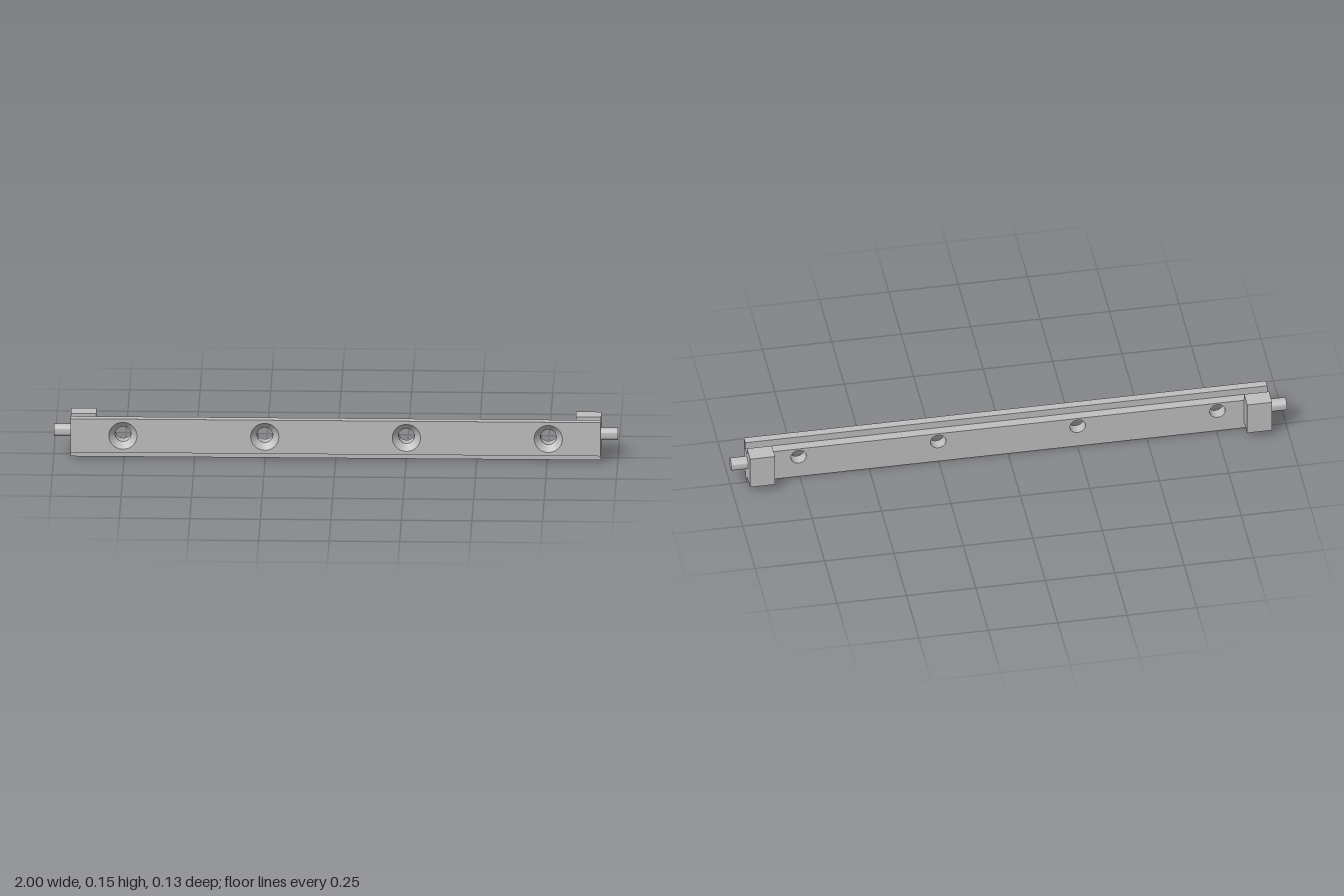
import * as THREE from 'three';
import { toCreasedNormals } from 'three/addons/utils/BufferGeometryUtils.js';

const HALF = 0.94;                 // half length of the bar
const HOLE_Y = 0.088;
const HOLE_XS = [-0.754, -0.251, 0.251, 0.754];
const R_IN = 0.028, R_OUT = 0.05;  // bore and countersink radii
const Z_FRONT = 0.0635, Z_GROOVE = 0.034, Z_CONE = Z_FRONT - (R_OUT - R_IN);

// Drilled slab of the bar between two z depths
function slab(y0, y1, z0, z1, radius) {
  const s = new THREE.Shape();
  s.moveTo(-HALF, y0).lineTo(HALF, y0).lineTo(HALF, y1).lineTo(-HALF, y1).closePath();
  for (const x of HOLE_XS) {
    s.holes.push(new THREE.Path().absarc(x, HOLE_Y, radius, 0, Math.PI * 2, true));
  }
  const g = new THREE.ExtrudeGeometry(s, { depth: z1 - z0, bevelEnabled: false, curveSegments: 40 });
  g.translate(0, 0, z0);
  return toCreasedNormals(g, 0.5);
}

export function createModel() {
  const model = new THREE.Group();
  model.name = 'mountingBar';
  const steel = new THREE.MeshStandardMaterial({ color: 0xbfbfbf });
  steel.name = 'grey steel';

  const add = (name, geometry) => {
    const m = new THREE.Mesh(geometry, steel);
    m.name = name;
    model.add(m);
    return m;
  };
  const box = (name, x0, x1, y0, y1, z0, z1) =>
    add(name, new THREE.BoxGeometry(x1 - x0, y1 - y0, z1 - z0))
      .position.set((x0 + x1) / 2, (y0 + y1) / 2, (z0 + z1) / 2);

  // Bar: low rear ledge, then the taller front lip
  add('rearLedge', slab(0.025, 0.123, 0, Z_GROOVE, R_IN));
  add('lipBack', slab(0.025, 0.15, Z_GROOVE, Z_CONE, R_IN));
  add('lipFront', slab(0.025, 0.15, Z_CONE, Z_FRONT, R_OUT));

  // Tongue under the rear of the bar
  box('tongue', -HALF, HALF, 0, 0.025, 0, 0.03);

  // Conical countersinks, facing inward
  const cone = new THREE.LatheGeometry(
    [new THREE.Vector2(R_OUT, Z_FRONT), new THREE.Vector2(R_IN, Z_CONE)], 80);
  cone.rotateX(Math.PI / 2);
  for (const x of HOLE_XS) add('countersink', cone).position.set(x, HOLE_Y, 0);

  // End pins: round with a flat underside
  const r = 0.023, a = Math.asin(0.017 / r);
  const pinShape = new THREE.Shape();
  pinShape.absarc(0, 0, r, -a, Math.PI + a, false);
  pinShape.closePath();
  const pin = toCreasedNormals(new THREE.ExtrudeGeometry(pinShape,
    { depth: 0.07, bevelEnabled: false, curveSegments: 40 }), 0.5);

  for (const side of [-1, 1]) {
    const label = side > 0 ? 'left' : 'right';
    const xs = [side * 0.85, side * HALF].sort((p, q) => p - q);
    box(label + 'EndBlock', xs[0], xs[1], 0.025, 0.15, -0.0635, 0);
    const p = add(label + 'Pin', pin);
    p.position.set(side * 0.93, HOLE_Y, 0);
    p.rotation.y = side * Math.PI / 2;
  }
  return model;
}
